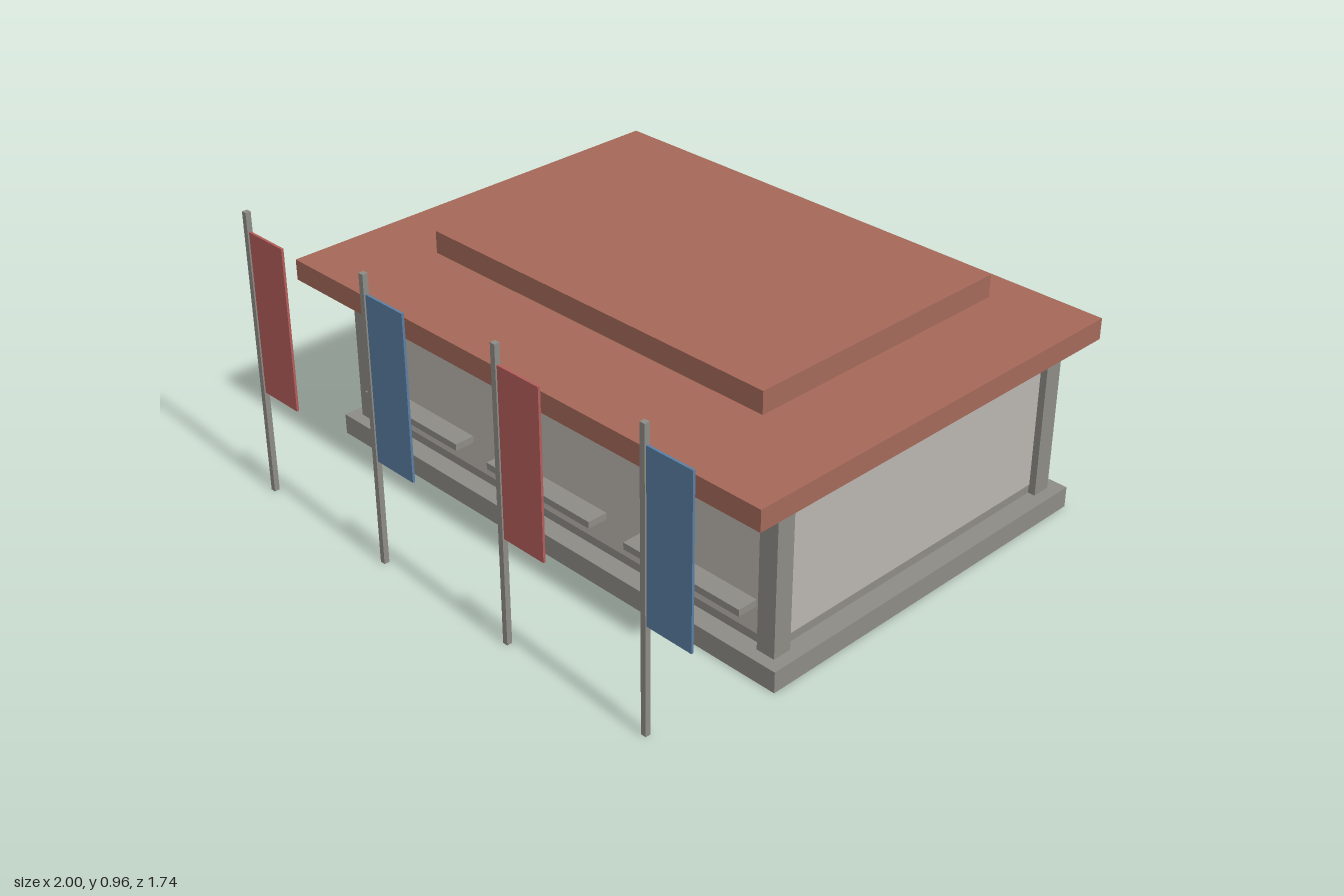
import * as THREE from 'three';

const mat = (name, color) => {
  const m = new THREE.MeshStandardMaterial({ color });
  m.name = name;
  return m;
};

export function createModel() {
  const model = new THREE.Group();
  model.name = 'pavilion';
  const trim = mat('stone grey', 0x8e8c86);
  const wall = mat('pale wall', 0xbab6b0);
  const roof = mat('terracotta', 0xa5695a);
  const red = mat('banner red', 0xb35d5a);
  const blue = mat('banner blue', 0x5a7ea3);

  // Box given by its limits on each axis
  const box = (name, material, [x0, x1], [y0, y1], [z0, z1], parent = model) => {
    const mesh = new THREE.Mesh(new THREE.BoxGeometry(x1 - x0, y1 - y0, z1 - z0), material);
    mesh.position.set((x0 + x1) / 2, (y0 + y1) / 2, (z0 + z1) / 2);
    mesh.name = name;
    parent.add(mesh);
    return mesh;
  };

  // Plinth, walls and cornice
  box('plinth', trim, [-0.965, 0.95], [0, 0.07], [-0.835, 0.49]);
  box('sill', trim, [-0.9, 0.885], [0.07, 0.1], [-0.765, 0.425]);
  box('walls', wall, [-0.902, 0.887], [0.1, 0.54], [-0.767, 0.427]);
  box('cornice', trim, [-0.935, 0.92], [0.54, 0.583], [-0.802, 0.46]);

  // Corner posts
  for (const x of [-0.925, 0.845])
    for (const z of [-0.79, 0.385])
      box('cornerPost', trim, [x, x + 0.065], [0.07, 0.54], [z, z + 0.065]);

  // Front counters
  for (const x of [-0.607, -0.007, 0.592])
    box('counter', trim, [x - 0.227, x + 0.227], [0.19, 0.213], [0.41, 0.497]);

  // Two floating roof slabs
  box('lowerRoof', roof, [-1, 0.985], [0.592, 0.662], [-0.868, 0.602]);
  box('upperRoof', roof, [-0.7, 0.688], [0.68, 0.755], [-0.71, 0.28]);

  // Row of banners on poles, alternating colours
  for (let i = 0; i < 4; i++) {
    const banner = new THREE.Group();
    banner.name = 'banner';
    banner.position.set(-0.844 + i * 0.558, 0, 0.859);
    box('pole', trim, [-0.009, 0.009], [0, 0.963], [-0.009, 0.009], banner);
    box('flag', i % 2 ? blue : red, [0.009, 0.17], [0.357, 0.9], [-0.004, 0.004], banner);
    model.add(banner);
  }
  return model;
}
